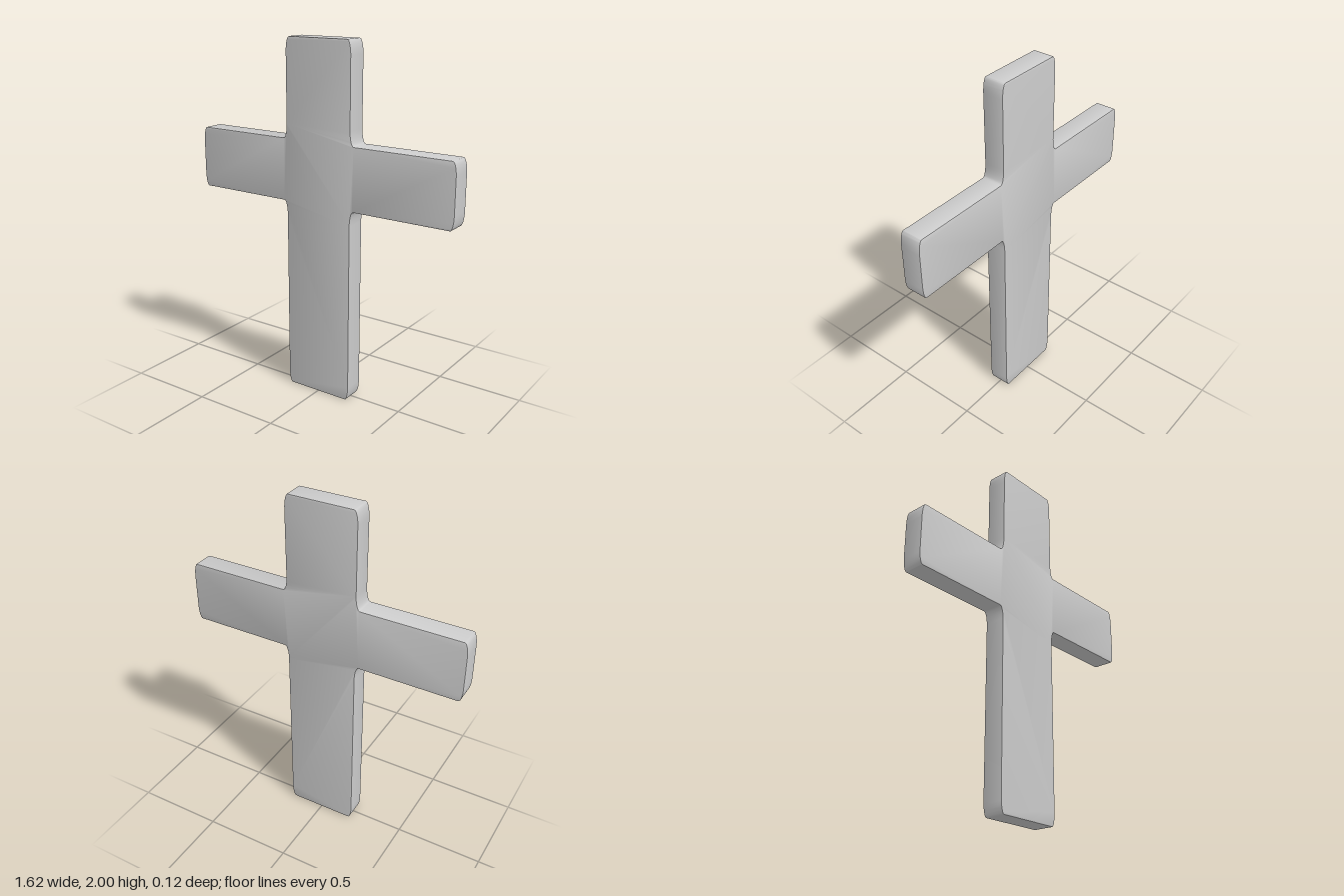
import * as THREE from 'three';
import { toCreasedNormals } from 'three/addons/utils/BufferGeometryUtils.js';

const STEM = 0.205, ARM = 0.81, ARM_LOW = 1.11, ARM_HIGH = 1.46, TOP = 2;
const DEPTH = 0.12, BEVEL = 0.004;
const CORNER_X = 0.022, CORNER_Y = 0.08; // corners are tall, narrow ellipses

// Point on the edge from corner a towards b, a fraction t of the corner radius away
function along(a, b, t) {
  return [
    a[0] + Math.sign(b[0] - a[0]) * CORNER_X * t,
    a[1] + Math.sign(b[1] - a[1]) * CORNER_Y * t,
  ];
}

// Outline with every inner and outer corner softened
function crossShape() {
  const right = [[STEM, 0], [STEM, ARM_LOW], [ARM, ARM_LOW], [ARM, ARM_HIGH], [STEM, ARM_HIGH], [STEM, TOP]];
  const left = right.map(([x, y]) => [-x, y]).reverse();
  const corners = [...right, ...left];
  const shape = new THREE.Shape();
  corners.forEach((c, i) => {
    const prev = corners[(i + corners.length - 1) % corners.length];
    const next = corners[(i + 1) % corners.length];
    const start = along(c, prev, 1);
    if (i === 0) shape.moveTo(...start);
    else shape.lineTo(...start);
    shape.bezierCurveTo(...along(c, prev, 0.45), ...along(c, next, 0.45), ...along(c, next, 1));
  });
  shape.closePath();
  return shape;
}

export function createModel() {
  const group = new THREE.Group();
  group.name = 'cross';

  // Flat slab with a hairline bevel on its rims
  const geometry = new THREE.ExtrudeGeometry(crossShape(), {
    depth: DEPTH - 2 * BEVEL,
    curveSegments: 10,
    bevelEnabled: true,
    bevelThickness: BEVEL,
    bevelSize: BEVEL,
    bevelOffset: -BEVEL,
    bevelSegments: 2,
  });
  geometry.translate(0, 0, BEVEL - DEPTH / 2);

  const body = new THREE.Mesh(
    toCreasedNormals(geometry, Math.PI / 5),
    new THREE.MeshStandardMaterial({ color: 0xcccccc })
  );
  body.name = 'crossBody';
  group.add(body);
  return group;
}
